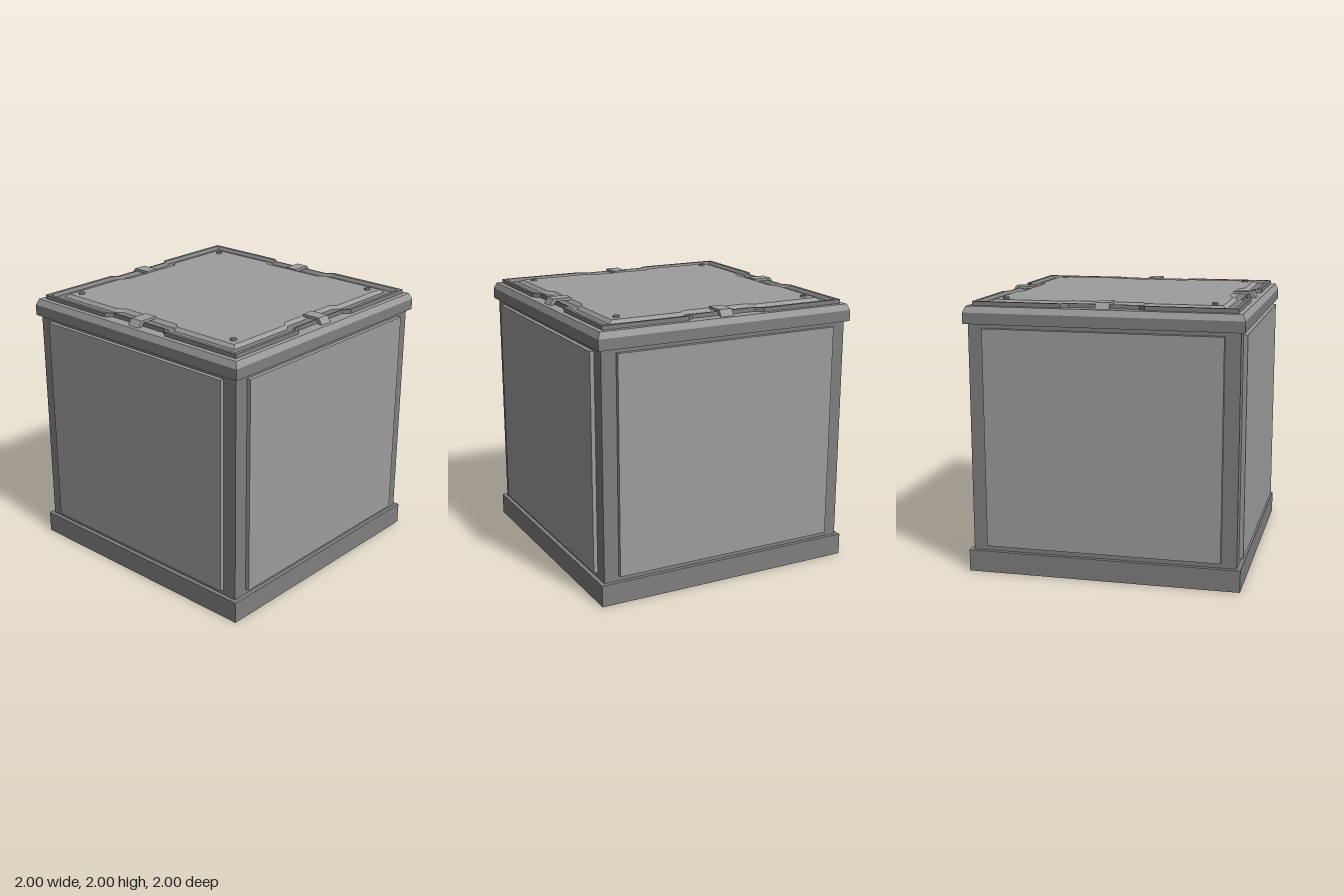
import * as THREE from 'three';

const frameMat = new THREE.MeshStandardMaterial({ color: 0x7f7f7f, flatShading: true });
const panelMat = new THREE.MeshStandardMaterial({ color: 0x9d9d9d, flatShading: true });

// Square outline with half-width r; the middle of each side is stepped in to half-width n
function outline([r, n, y]) {
  const side = [[-r, r], [-0.3, r], [-0.25, n], [0.25, n], [0.3, r]];
  const pts = [];
  for (let k = 0; k < 4; k++) {
    for (const [x, z] of side) {
      let p = [x, z];
      for (let i = 0; i < k; i++) p = [p[1], -p[0]];
      pts.push(new THREE.Vector3(p[0], y, p[1]));
    }
  }
  return pts;
}

// Skin a stack of outlines and close both ends
function loft(levels) {
  const loops = levels.map(outline), tris = [];
  const n = loops[0].length, last = loops.length - 1;
  const low = new THREE.Vector3(0, levels[0][2], 0);
  const high = new THREE.Vector3(0, levels[last][2], 0);
  for (let i = 0; i < n; i++) {
    const j = (i + 1) % n;
    for (let k = 0; k < last; k++) {
      const a = loops[k], b = loops[k + 1];
      tris.push(a[i], a[j], b[j], a[i], b[j], b[i]);
    }
    tris.push(low, loops[0][j], loops[0][i], high, loops[last][i], loops[last][j]);
  }
  const geo = new THREE.BufferGeometry().setFromPoints(tris);
  geo.computeVertexNormals();
  return geo;
}

export function createModel() {
  const model = new THREE.Group();
  model.name = 'crate';

  function add(name, geo, mat, x = 0, y = 0, z = 0, parent = model) {
    const mesh = new THREE.Mesh(geo, mat);
    mesh.name = name;
    mesh.position.set(x, y, z);
    parent.add(mesh);
  }

  // Plinth and body
  add('base', new THREE.BoxGeometry(2, 0.16, 2), frameMat, 0, 0.08, 0);
  add('body', new THREE.BoxGeometry(1.94, 1.67, 1.94), frameMat, 0, 0.995, 0);

  // Lid: dark band with a lighter chamfered top
  add('lidBand', new THREE.BoxGeometry(2, 0.08, 2), frameMat, 0, 1.87, 0);
  add('lidTop', loft([[1, 1, 1.91], [0.98, 0.98, 1.955]]), panelMat);

  // Raised, notched rim with a groove inside it
  add('lidRim', loft([
    [0.945, 0.90, 1.955], [0.945, 0.90, 1.985], [0.92, 0.89, 1.985],
    [0.895, 0.86, 1.965], [0.84, 0.80, 1.965],
  ]), frameMat);

  // Bevelled plate in the middle of the lid
  add('lidPlate', loft([[0.85, 0.81, 1.96], [0.82, 0.78, 1.988]]), panelMat);

  // Clip profile, drawn outward and up, extruded across its width
  const clipShape = new THREE.Shape([
    [0.78, 1.98], [0.90, 1.98], [0.92, 1.955], [0.95, 1.955], [0.92, 2], [0.78, 2],
  ].map(([x, y]) => new THREE.Vector2(x, y)));
  const clipGeo = new THREE.ExtrudeGeometry(clipShape, { depth: 0.1, bevelEnabled: false });
  clipGeo.translate(0, 0, -0.05);
  clipGeo.rotateY(-Math.PI / 2);

  const panelGeo = new THREE.BoxGeometry(1.72, 1.6, 0.04);
  const rivetGeo = new THREE.CylinderGeometry(0.022, 0.024, 0.014, 12);

  // Side panel, clip and rivet repeated on all four sides
  ['front', 'left', 'back', 'right'].forEach((name, k) => {
    const side = new THREE.Group();
    side.name = name + 'Side';
    side.rotation.y = k * Math.PI / 2;
    model.add(side);
    add('panel', panelGeo, panelMat, 0, 1, 0.98, side);
    add('clip', clipGeo, panelMat, 0, 0, 0, side);
    add('rivet', rivetGeo, frameMat, 0.755, 1.993, 0.755, side);
  });

  return model;
}
